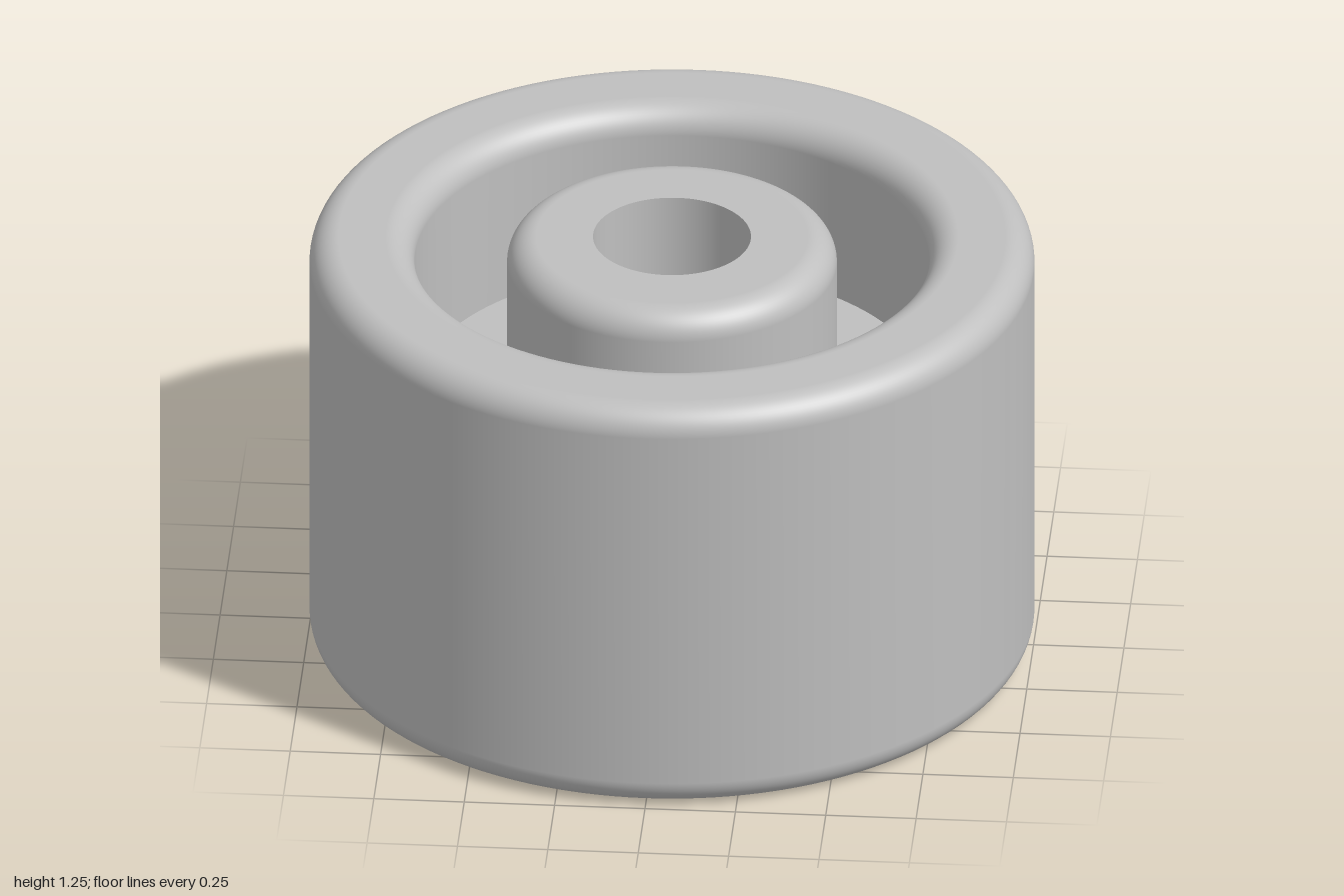
import * as THREE from 'three';

const HEIGHT = 1.25;
const FILLET = 0.08;
const RIM_OUTER = 1, RIM_INNER = 0.71;
const HUB_OUTER = 0.455, BORE = 0.218;
const WEB_BOTTOM = 0.5, WEB_TOP = 0.75;

// Quarter-round corner points, running counter-clockwise from a start angle
function fillet(cx, cy, startAngle, steps = 14) {
  return Array.from({ length: steps + 1 }, (_, i) => {
    const a = startAngle + (i / steps) * Math.PI / 2;
    return new THREE.Vector2(cx + FILLET * Math.cos(a), cy + FILLET * Math.sin(a));
  });
}

export function createModel() {
  const model = new THREE.Group();
  model.name = 'rollerWheel';
  const grey = new THREE.MeshStandardMaterial({ color: 0xbfbfbf });
  grey.name = 'plain grey';

  const point = (x, y) => new THREE.Vector2(x, y);
  const revolve = (name, profile, parent) => {
    const mesh = new THREE.Mesh(new THREE.LatheGeometry(profile, 128), grey);
    mesh.name = name;
    parent.add(mesh);
  };
  const addGroup = (name) => {
    const group = new THREE.Group();
    group.name = name;
    model.add(group);
    return group;
  };

  const low = FILLET, high = HEIGHT - FILLET, mid = HEIGHT / 2;

  // Outer rim, rounded on all four edges
  revolve('rim', [
    point(RIM_INNER, mid),
    ...fillet(RIM_INNER + FILLET, low, Math.PI),
    ...fillet(RIM_OUTER - FILLET, low, -Math.PI / 2),
    ...fillet(RIM_OUTER - FILLET, high, 0),
    ...fillet(RIM_INNER + FILLET, high, Math.PI / 2),
    point(RIM_INNER, mid),
  ], model);

  // Hub, rounded outside, with a sharp-edged through bore
  const hub = addGroup('hub');
  revolve('hubBody', [
    point(BORE, 0),
    ...fillet(HUB_OUTER - FILLET, low, -Math.PI / 2),
    ...fillet(HUB_OUTER - FILLET, high, 0),
    point(BORE, HEIGHT),
  ], hub);
  revolve('hubBore', [point(BORE, HEIGHT), point(BORE, 0)], hub);

  // Flat web joining the hub to the rim
  const web = addGroup('web');
  revolve('webUnderside', [point(HUB_OUTER, WEB_BOTTOM), point(RIM_INNER, WEB_BOTTOM)], web);
  revolve('webTop', [point(RIM_INNER, WEB_TOP), point(HUB_OUTER, WEB_TOP)], web);

  return model;
}
